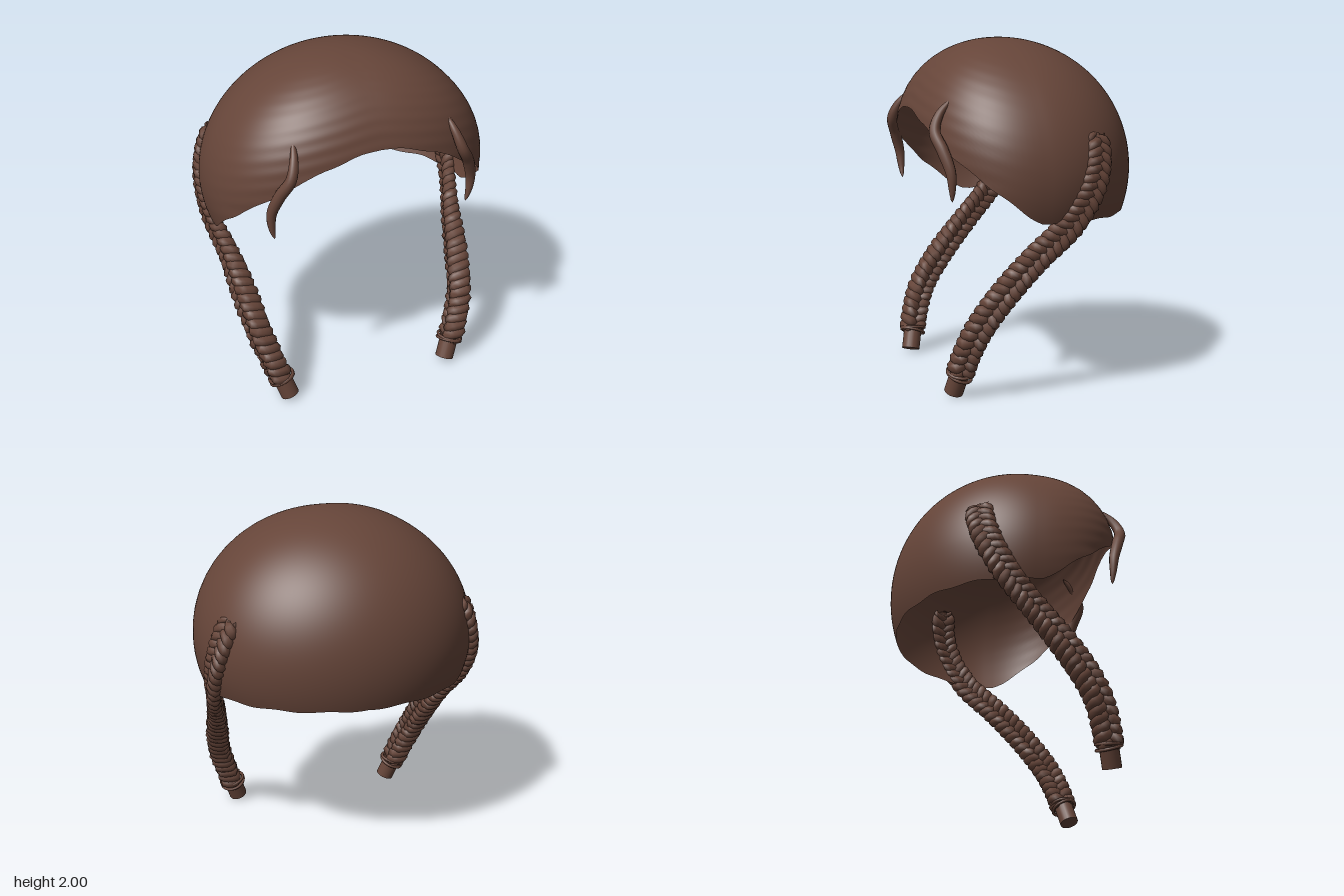
import * as THREE from 'three';

const hairBrown = new THREE.MeshStandardMaterial({ color: 0x664539, side: THREE.DoubleSide });
hairBrown.name = 'hairBrown';

const V = (x, y, z) => new THREE.Vector3(x, y, z);

function addMesh(parent, geometry, name) {
  const mesh = new THREE.Mesh(geometry, hairBrown);
  mesh.name = name;
  parent.add(mesh);
  return mesh;
}

// Height of the hairline at angle a from the front, stepped through by interpolation
const HAIRLINE = [[0, 1.6], [0.12, 1.585], [0.36, 1.525], [0.64, 1.4], [0.79, 1.335],
  [1.0, 1.24], [1.19, 1.16], [1.4, 1.055], [1.54, 1.0], [Math.PI, 1.0]];
function hairline(a) {
  let i = 1;
  while (i < HAIRLINE.length - 1 && a > HAIRLINE[i][0]) i++;
  const [a0, y0] = HAIRLINE[i - 1], [a1, y1] = HAIRLINE[i];
  return y0 + (y1 - y0) * (a - a0) / (a1 - a0) + 0.005 * Math.sin(a * 16);
}

// Open shell: rings from the crown down to the hairline
function capGeometry() {
  const cols = 128, rows = 64, pos = [0, 2, 0.1], index = [];
  for (let i = 1; i <= rows; i++) {
    for (let j = 0; j < cols; j++) {
      const a = (j / cols) * Math.PI * 2;
      const edge = hairline(Math.min(a, Math.PI * 2 - a));
      const theta = Math.acos((edge - 1.25) / 0.75) * i / rows;
      const y = 1.25 + 0.75 * Math.cos(theta);
      const s = Math.sin(a), c = Math.cos(a);
      const power = c > 0 ? 0.82 : 1;          // squarer brow, rounder back
      const px = Math.sign(s) * Math.abs(s) ** power;
      const pz = Math.sign(c) * Math.abs(c) ** power;
      // faint combed ripples over the front half
      const ripple = 1 + 0.002 * Math.max(0, c) * Math.sin(theta * 55 + Math.abs(a - Math.PI) * 12);
      const r = Math.sin(theta) * ripple;
      // the brow bulges forward towards the crown
      const up = Math.max(0, Math.cos(theta));
      const reach = c > 0 ? 0.61 + 0.1 * up : 0.71 + 0.05 * up;
      pos.push(0.835 * r * px, y, 0.05 + 0.05 * up + reach * r * pz);
    }
  }
  const at = (i, j) => 1 + (i - 1) * cols + (j % cols);
  for (let j = 0; j < cols; j++) {
    index.push(0, at(1, j), at(1, j + 1));
    for (let i = 1; i < rows; i++) {
      index.push(at(i, j), at(i + 1, j), at(i + 1, j + 1), at(i, j), at(i + 1, j + 1), at(i, j + 1));
    }
  }
  const g = new THREE.BufferGeometry();
  g.setAttribute('position', new THREE.Float32BufferAttribute(pos, 3));
  g.setIndex(index);
  g.computeVertexNormals();
  return g;
}

// Tube whose radius follows a rule along its length
function taperedTube(path, segments, sides, radiusAt) {
  const g = new THREE.TubeGeometry(path, segments, 1, sides);
  const p = g.attributes.position, v = V(0, 0, 0);
  for (let i = 0; i <= segments; i++) {
    const c = path.getPointAt(i / segments), r = radiusAt(i / segments);
    for (let j = 0; j <= sides; j++) {
      const k = i * (sides + 1) + j;
      v.fromBufferAttribute(p, k).sub(c).multiplyScalar(r).add(c);
      p.setXYZ(k, v.x, v.y, v.z);
    }
  }
  return g;
}

// The braid lies flat against the head and grows rounder where it hangs free
const fullness = t => THREE.MathUtils.smoothstep(t, 0.35, 0.68);

// One strand weaving a figure of eight around the braid's centre line
class Strand extends THREE.Curve {
  constructor(spine, side, phase) {
    super();
    Object.assign(this, { spine, side, phase, arcLengthDivisions: 900 });
  }
  getPoint(t, target = V(0, 0, 0)) {
    const centre = this.spine.getPointAt(t), tangent = this.spine.getTangentAt(t);
    const k = Math.min(1, t * 1.5);
    const out = V(this.side * (0.8 + 0.2 * k), 0.3, -0.4 * (1 - k));
    out.addScaledVector(tangent, -out.dot(tangent)).normalize();
    const across = V(0, 0, 0).crossVectors(tangent, out);
    const w = t * Math.PI * 2 * 11 + this.phase;
    const depth = 0.011 + 0.025 * fullness(t);
    const width = 0.057 - 0.011 * t;
    return target.copy(centre)
      .addScaledVector(across, width * Math.sin(w))
      .addScaledVector(out, depth * Math.sin(2 * w));
  }
}

function braid(side) {
  const group = new THREE.Group();
  const spine = new THREE.CatmullRomCurve3([
    [0.693, 1.48, -0.245], [0.745, 1.36, -0.245], [0.782, 1.2, -0.2], [0.775, 1.0, -0.08],
    [0.717, 0.8, 0.11], [0.68, 0.6, 0.285], [0.64, 0.4, 0.42], [0.58, 0.22, 0.485], [0.548, 0.12, 0.505],
  ].map(([x, y, z]) => V(side * x, y, z)));

  // core and three woven strands
  addMesh(group, taperedTube(spine, 60, 8, t => 0.022 + 0.024 * fullness(t)), 'braidCore');
  for (let i = 0; i < 3; i++) {
    const strand = new Strand(spine, side, i * Math.PI * 2 / 3);
    addMesh(group, taperedTube(strand, 220, 8,
      t => (0.033 + 0.004 * fullness(t)) * Math.min(1, 0.3 + 25 * t, 0.3 + 25 * (1 - t))), 'braidStrand');
  }

  // tie ring and cut tail
  const from = V(side * 0.55, 0.15, 0.5), to = V(side * 0.506, 0.026, 0.527);
  const dir = to.clone().sub(from);
  const tail = addMesh(group, new THREE.CylinderGeometry(0.055, 0.055, dir.length(), 20), 'braidTail');
  tail.position.copy(from).add(to).multiplyScalar(0.5);
  tail.quaternion.setFromUnitVectors(V(0, -1, 0), dir.clone().normalize());
  [[0, 0.12], [0.15, -0.1]].forEach(([shift, tilt]) => {
    const ring = addMesh(group, new THREE.TorusGeometry(0.072, 0.009, 8, 28), 'braidTie');
    ring.position.copy(from).addScaledVector(dir, shift);
    ring.quaternion.setFromUnitVectors(V(0, 0, 1), dir.clone().normalize());
    ring.rotateX(tilt);
  });
  return group;
}

// Loose lock hanging over the brow, pointed at both ends
function lock(side) {
  const path = new THREE.CatmullRomCurve3([
    [0.455, 1.675, 0.51], [0.48, 1.59, 0.59], [0.51, 1.5, 0.625], [0.565, 1.4, 0.595],
    [0.602, 1.28, 0.56], [0.6, 1.19, 0.552], [0.583, 1.115, 0.548],
  ].map(([x, y, z]) => V(side * x, y, z)));
  return taperedTube(path, 40, 12, t => 0.034 * Math.min(1, Math.sin(Math.PI * t) ** 0.55 + 0.001));
}

export function createModel() {
  const model = new THREE.Group();
  model.name = 'braidedHair';
  addMesh(model, capGeometry(), 'hairCap');
  for (const [side, label] of [[1, 'left'], [-1, 'right']]) {
    const b = braid(side);
    b.name = label + 'Braid';
    model.add(b);
    addMesh(model, lock(side), label + 'FrontLock');
  }
  return model;
}
